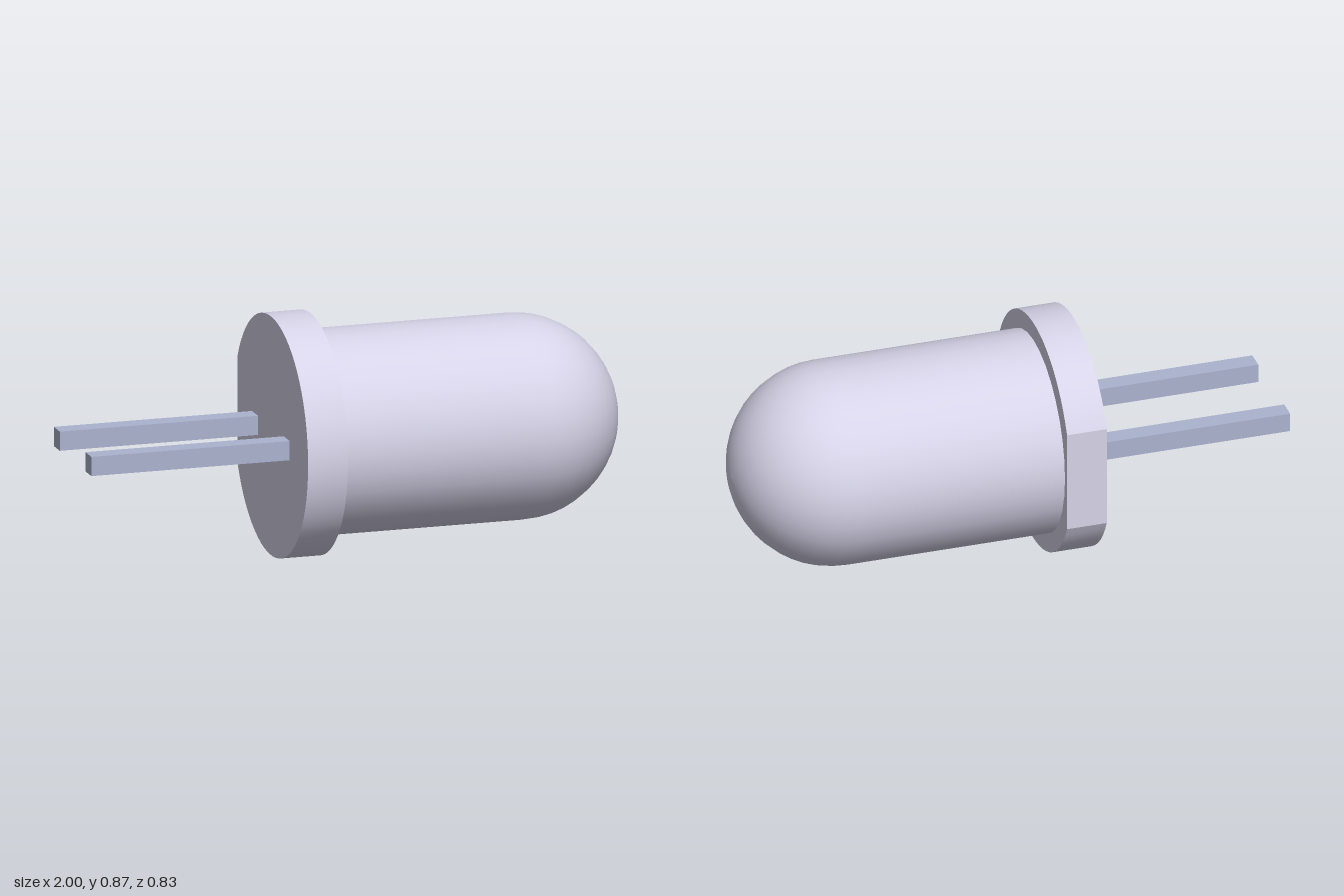
import * as THREE from 'three';
import { toCreasedNormals } from 'three/addons/utils/BufferGeometryUtils.js';

const AXIS_Y = 0.435, AXIS_Z = -0.022;
const BODY_R = 0.367, FLANGE_R = 0.435;

export function createModel() {
  const group = new THREE.Group();
  const plastic = new THREE.MeshStandardMaterial({ color: 0xd6d3e8 });
  const metal = new THREE.MeshStandardMaterial({ color: 0xabb3cf });

  const add = (name, geometry, material, x, z = 0) => {
    const mesh = new THREE.Mesh(geometry, material);
    mesh.name = name;
    mesh.position.set(x, AXIS_Y, AXIS_Z + z);
    group.add(mesh);
  };

  // Lens: a cylinder running smoothly into a hemispherical dome along +x
  const domeX = 0.633, lensBack = -0.13;
  const profile = [new THREE.Vector2(BODY_R, lensBack - domeX)];
  for (let i = 0; i <= 12; i++) {
    const a = (i / 12) * Math.PI / 2;
    profile.push(new THREE.Vector2(i === 12 ? 0 : BODY_R * Math.cos(a), BODY_R * Math.sin(a)));
  }
  const lens = new THREE.LatheGeometry(profile, 32);
  lens.rotateZ(-Math.PI / 2);
  add('lens', lens, plastic, domeX);

  // Flange: a disc with one flat cut on the back (-z) side
  const flat = Math.asin(0.19 / FLANGE_R);
  const outline = new THREE.Shape();
  outline.absarc(0, 0, FLANGE_R, flat, Math.PI * 2 - flat, false);
  outline.closePath();
  const disc = new THREE.ExtrudeGeometry(outline, { depth: 0.147, bevelEnabled: false, curveSegments: 28 });
  disc.rotateY(Math.PI / 2);
  add('flange', toCreasedNormals(disc, 0.3), plastic, -0.267);

  // Two square leads leaving the flange along -x
  const leadLength = 0.733;
  for (const side of [-1, 1]) {
    add(side > 0 ? 'frontLead' : 'backLead',
      new THREE.BoxGeometry(leadLength, 0.07, 0.07), metal, -1 + leadLength / 2, side * 0.185);
  }
  return group;
}
